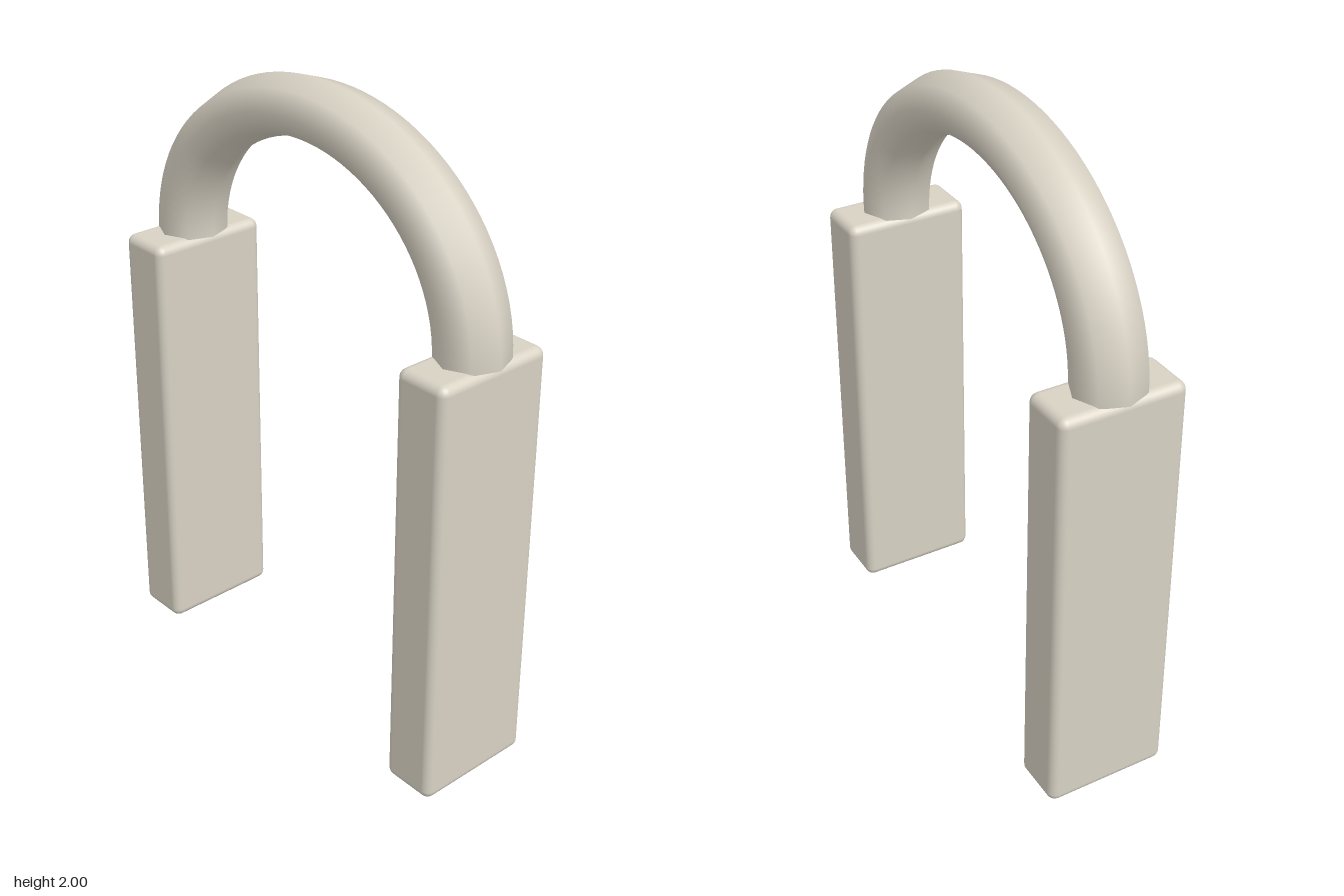
import * as THREE from 'three';
import { RoundedBoxGeometry } from 'three/addons/geometries/RoundedBoxGeometry.js';

export function createModel() {
  const group = new THREE.Group();
  const stone = new THREE.MeshStandardMaterial({ color: 0xd8d2c4, side: THREE.DoubleSide });
  stone.name = 'warm stone';

  const legHeight = 1.38;

  // Two softly rounded upright slabs
  const legGeometry = new RoundedBoxGeometry(0.18, legHeight, 0.4, 3, 0.028);
  for (const side of [1, -1]) {
    const leg = new THREE.Mesh(legGeometry, stone);
    leg.name = side > 0 ? 'leftLeg' : 'rightLeg';
    leg.position.set(side * 0.615, legHeight / 2, 0);
    group.add(leg);
  }

  // Flattened half ring with an eight-sided section, resting on the slabs
  const archGeometry = new THREE.TorusGeometry(0.614, 0.104, 8, 48, Math.PI);
  archGeometry.scale(1, 0.87, 1.08);
  const arch = new THREE.Mesh(archGeometry, stone);
  arch.name = 'arch';
  arch.position.y = 1.375;
  group.add(arch);

  return group;
}
